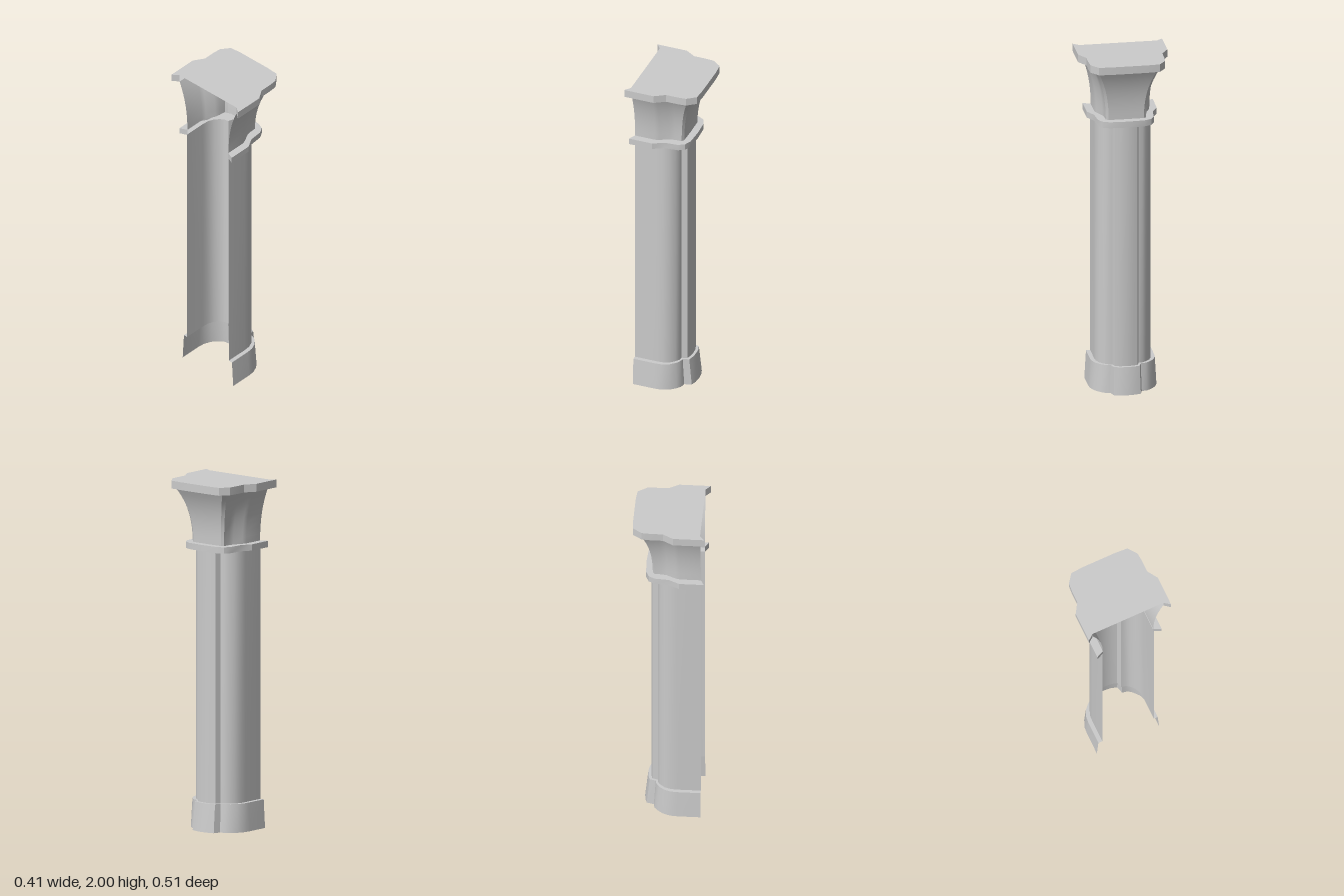
import * as THREE from 'three';
import { toCreasedNormals } from 'three/addons/utils/BufferGeometryUtils.js';

const material = new THREE.MeshStandardMaterial({ color: 0xcccccc, side: THREE.DoubleSide });

// Half outlines as [x, z], from the open back edge round to the front centre
const SHAFT = [[-0.18, 0.16], [-0.05, 0.16], [-0.01, 0.157], [0.025, 0.143], [0.05, 0.12], [0.064, 0.1],
  [0.069, 0.074], [0.1, 0.064], [0.108, 0.035], [0.111, 0]];
const COLLAR = [[-0.18, 0.155], [-0.2, 0.2], [-0.06, 0.2], [0, 0.167], [0.08, 0.16], [0.115, 0.14], [0.133, 0.1], [0.138, 0]];
const NECK = [[-0.18, 0.157], [-0.06, 0.157], [-0.035, 0.149], [0.015, 0.123], [0.045, 0.117], [0.085, 0.115],
  [0.095, 0.1], [0.097, 0]];
const FLARE = [[-0.18, 0.217], [-0.05, 0.217], [-0.03, 0.212], [0.025, 0.19], [0.06, 0.187], [0.145, 0.185],
  [0.168, 0.17], [0.175, 0]];
const ABACUS = [[-0.18, 0.22], [-0.207, 0.255], [-0.03, 0.255], [0.03, 0.217], [0.1, 0.217], [0.15, 0.213],
  [0.201, 0.174], [0.206, 0.1], [0.206, 0]];

// Mirrors a half outline across z = 0 into a full open path
const full = (half) => [...half, ...half.slice(0, -1).reverse().map(([x, z]) => [x, -z])];

// Spreads the shaft outline outwards, keeping the back edge in place
const spread = (kx, kz) => SHAFT.map(([x, z]) => [x > 0 ? x * kx : x, z * kz]);

// Skin through levels of { y, half }
function wall(name, levels, crease = 0.5) {
  const rows = levels.map(({ y, half }) => full(half).map(([x, z]) => [x, y, z]));
  const n = rows[0].length;
  const index = [];
  for (let j = 0; j < rows.length - 1; j++) {
    for (let i = 0; i < n - 1; i++) {
      const a = j * n + i, b = a + 1, c = a + n, d = c + 1;
      index.push(a, b, d, a, d, c);
    }
  }
  const geometry = new THREE.BufferGeometry();
  geometry.setAttribute('position', new THREE.Float32BufferAttribute(rows.flat(2), 3));
  geometry.setIndex(index);
  const mesh = new THREE.Mesh(toCreasedNormals(geometry, crease), material);
  mesh.name = name;
  return mesh;
}

// Flat plate at height y, with an optional inner outline cut from the back
function plate(name, y, outer, inner, up) {
  const points = [...full(outer), ...(inner ? full(inner).reverse() : [])];
  // Looking down, shape y runs along -z; looking up, along +z
  const s = up ? -1 : 1;
  const shape = new THREE.Shape(points.map(([x, z]) => new THREE.Vector2(x, s * z)));
  const geometry = new THREE.ShapeGeometry(shape);
  geometry.rotateX(s * Math.PI / 2).translate(0, y, 0);
  const mesh = new THREE.Mesh(geometry, material);
  mesh.name = name;
  return mesh;
}

export function createModel() {
  const group = new THREE.Group();
  group.name = 'halfColumn';

  // Tapered base with a narrow ledge
  const baseTop = spread(1.15, 1.15);
  group.add(wall('base', [{ y: 0, half: spread(1.31, 1.21) }, { y: 0.163, half: baseTop }]));
  group.add(plate('baseLedge', 0.163, baseTop, SHAFT, true));

  // Straight shaft
  group.add(wall('shaft', [{ y: 0.163, half: SHAFT }, { y: 1.607, half: SHAFT }]));

  // Collar moulding
  group.add(wall('collar', [{ y: 1.607, half: COLLAR }, { y: 1.643, half: COLLAR }]));
  group.add(plate('collarUnderside', 1.607, COLLAR, SHAFT, false));
  group.add(plate('collarTop', 1.643, COLLAR, NECK, true));

  // Flaring capital
  const levels = [];
  for (let j = 0; j <= 8; j++) {
    const t = j / 8;
    const k = 0.08 * t + 0.92 * t ** 2.4;
    const half = NECK.map(([x, z], i) => [
      THREE.MathUtils.lerp(x, FLARE[i][0], k),
      THREE.MathUtils.lerp(z, FLARE[i][1], k),
    ]);
    levels.push({ y: 1.643 + 0.312 * t, half });
  }
  group.add(wall('capital', levels));

  // Top slab
  group.add(wall('slabEdge', [{ y: 1.955, half: ABACUS }, { y: 2, half: ABACUS }]));
  group.add(plate('slabUnderside', 1.955, ABACUS, FLARE, false));
  group.add(plate('slabTop', 2, ABACUS, null, true));

  return group;
}
